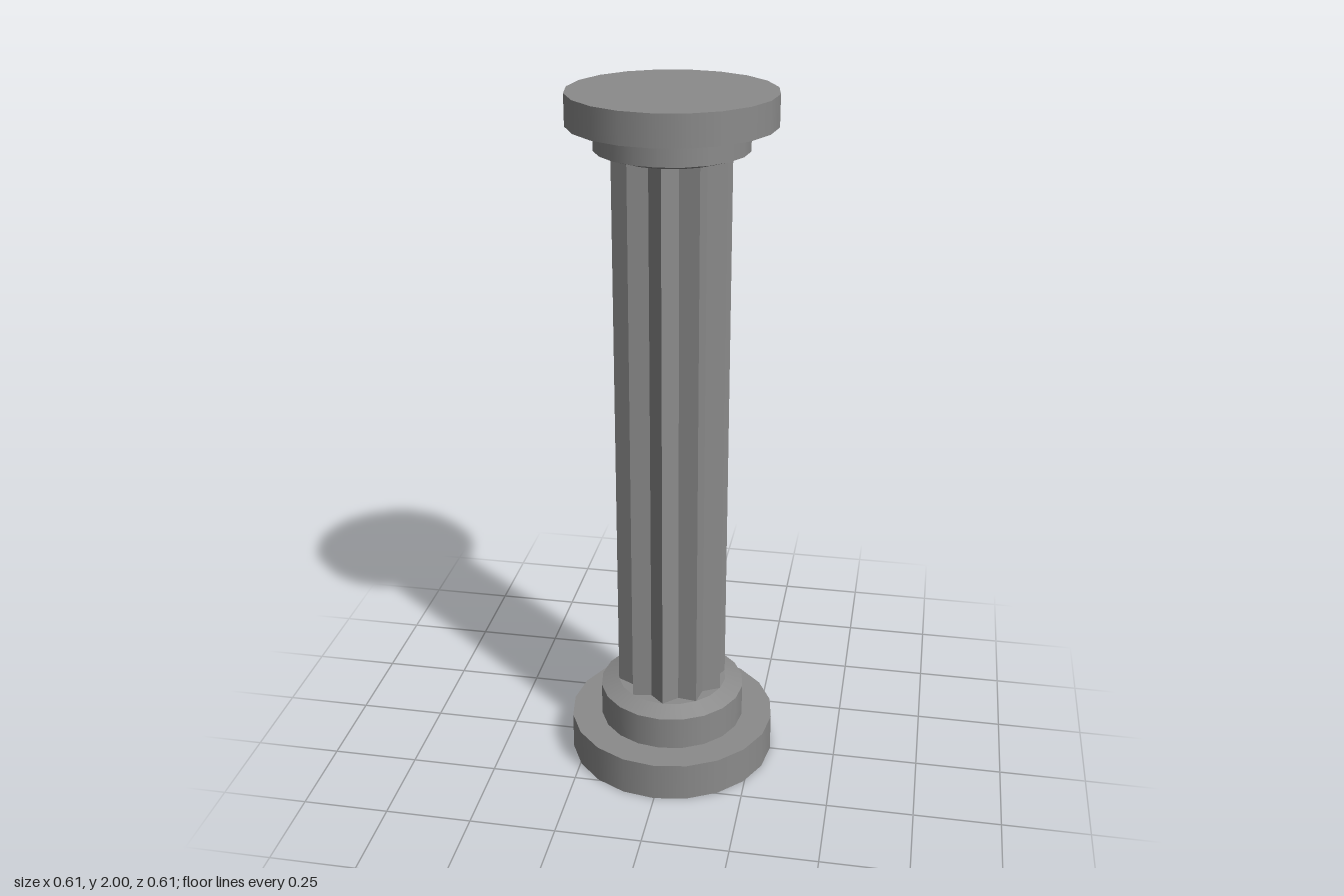
import * as THREE from 'three';

const SIDES = 20;
const RIDGE = 0.162, VALLEY = 0.13;

export function createModel() {
  const group = new THREE.Group();
  const smooth = new THREE.MeshStandardMaterial({ color: 0x8b8b8b });
  const faceted = new THREE.MeshStandardMaterial({ color: 0x8b8b8b, flatShading: true });

  const add = (name, geometry, material) => {
    const mesh = new THREE.Mesh(geometry, material);
    mesh.name = name;
    group.add(mesh);
  };

  // Round slab or cone section from y0 to y1
  const disc = (name, y0, y1, bottomRadius, topRadius = bottomRadius) => {
    const geometry = new THREE.CylinderGeometry(topRadius, bottomRadius, y1 - y0, SIDES);
    geometry.translate(0, (y0 + y1) / 2, 0);
    add(name, geometry, smooth);
  };

  disc('basePlinth', 0, 0.115, 0.305);
  disc('baseDrum', 0.115, 0.215, 0.215);
  disc('baseBevel', 0.215, 0.234, 0.215, RIDGE);
  disc('capitalBevel', 1.835, 1.85, RIDGE, 0.208);
  disc('capitalDrum', 1.85, 1.915, 0.208);
  disc('capitalSlab', 1.915, 2, 0.28);

  // Fluted shaft: every second column of a 20-sided tube is pulled in
  const profile = [new THREE.Vector2(RIDGE, 0.234), new THREE.Vector2(RIDGE, 1.835)];
  const shaft = new THREE.LatheGeometry(profile, SIDES);
  const pos = shaft.attributes.position;
  const k = VALLEY / RIDGE;
  for (let i = 0; i < pos.count; i++) {
    if (Math.floor(i / profile.length) % 2 === 1) {
      pos.setXYZ(i, pos.getX(i) * k, pos.getY(i), pos.getZ(i) * k);
    }
  }
  shaft.computeVertexNormals();
  add('flutedShaft', shaft, faceted);

  return group;
}
